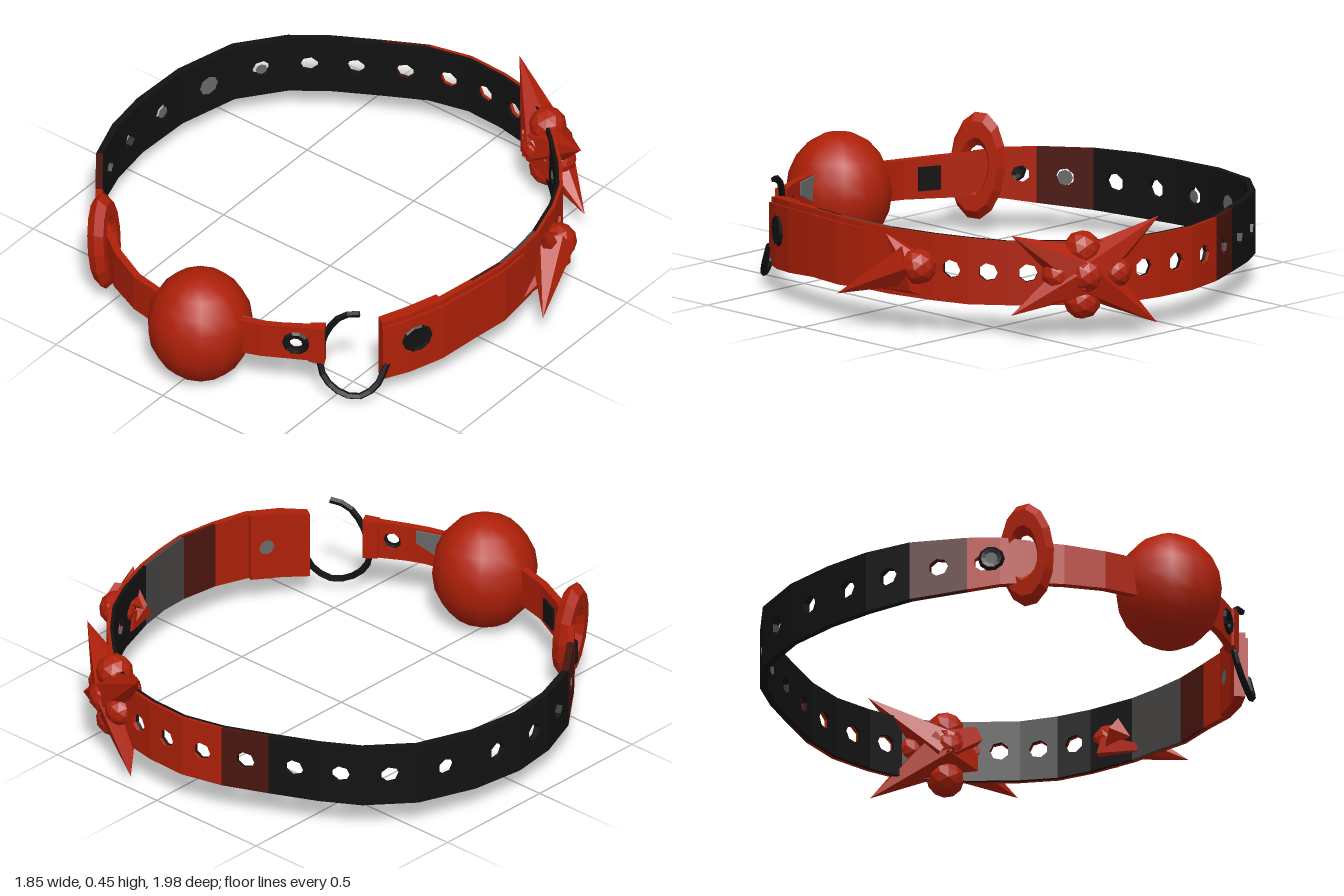
import * as THREE from 'three';

const mat = (name, color, double) => {
  const m = new THREE.MeshStandardMaterial({ color });
  m.name = name;
  m.flatShading = true;
  if (double) m.side = THREE.DoubleSide;
  return m;
};

export function createModel() {
  const model = new THREE.Group();
  const red = mat('red leather', 0xaf2008);
  const wine = mat('dark red leather', 0x4a150e);
  const black = mat('black leather', 0x121212);
  const grey = mat('grey lining', 0x6a6a6a);
  const charcoal = mat('charcoal lining', 0x464443);
  const ballRed = new THREE.MeshStandardMaterial({ color: 0xaf2008 });
  ballRed.name = 'red rubber';
  const V = (x, y, z) => new THREE.Vector3(x, y, z);
  const add = (name, geo, material, parent = model) => {
    const m = new THREE.Mesh(geo, material);
    m.name = name;
    parent.add(m);
    return m;
  };

  // Outward horizontal normal of a path at point i
  const normalAt = (path, i) => {
    const a = path[Math.max(i - 1, 0)], b = path[Math.min(i + 1, path.length - 1)];
    return V(-(b[1] - a[1]), 0, b[0] - a[0]).normalize();
  };

  // One bent strap plate between path points i and i+1, between depths w0 and w1
  // path points: [x, z, centre height, half height]
  function plate(name, path, i, w0, w1, material, hole) {
    const a = path[i], b = path[i + 1];
    const na = normalAt(path, i), nb = normalAt(path, i + 1);
    const len = Math.hypot(b[0] - a[0], b[1] - a[1]);
    const s = new THREE.Shape([[0, -1], [1, -1], [1, 1], [0, 1]].map(p => new THREE.Vector2(...p)));
    if (hole) {
      const pts = [];
      for (let k = 0; k < 7; k++) {
        const t = -k / 7 * Math.PI * 2;
        pts.push(new THREE.Vector2(0.5 + Math.cos(t) * 0.036 / len, Math.sin(t) * 0.036 / a[3]));
      }
      s.holes.push(new THREE.Path(pts));
    }
    const g = new THREE.ExtrudeGeometry(s, { depth: 1, bevelEnabled: false, steps: 1 });
    const p = g.attributes.position;
    const mix = THREE.MathUtils.lerp;
    for (let k = 0; k < p.count; k++) {
      const u = p.getX(k), v = p.getY(k), w = mix(w0, w1, p.getZ(k));
      const n = na.clone().lerp(nb, u);
      p.setXYZ(k, mix(a[0], b[0], u) + n.x * w,
        mix(a[2], b[2], u) + v * mix(a[3], b[3], u), mix(a[1], b[1], u) + n.z * w);
    }
    g.computeVertexNormals();
    add(name, g, material);
  }

  // Main strap: from the free end, round the back, to the slide ring
  const loop = [
    [0.64, 0.51, 0.23, 0.13], [0.70, 0.42, 0.245, 0.135], [0.755, 0.30, 0.26, 0.135],
    [0.785, 0.15, 0.27, 0.13], [0.805, 0, 0.27, 0.13], [0.795, -0.12, 0.27, 0.125],
    [0.775, -0.24, 0.265, 0.125], [0.72, -0.41, 0.26, 0.125], [0.66, -0.53, 0.255, 0.125],
    [0.57, -0.64, 0.25, 0.12], [0.46, -0.745, 0.25, 0.12], [0.35, -0.84, 0.25, 0.12],
    [0.22, -0.91, 0.25, 0.12], [0.08, -0.935, 0.25, 0.12], [-0.08, -0.94, 0.25, 0.12],
    [-0.24, -0.90, 0.25, 0.12], [-0.40, -0.82, 0.245, 0.12], [-0.57, -0.73, 0.24, 0.12],
    [-0.70, -0.64, 0.235, 0.12], [-0.83, -0.48, 0.23, 0.12], [-0.90, -0.25, 0.22, 0.12],
    [-0.915, -0.03, 0.21, 0.12], [-0.89, 0.15, 0.21, 0.12], [-0.83, 0.32, 0.215, 0.115],
    [-0.70, 0.49, 0.225, 0.105], [-0.62, 0.58, 0.23, 0.095], [-0.53, 0.65, 0.23, 0.085],
  ];
  for (let i = 0; i < loop.length - 1; i++) {
    const hole = i >= 7 && i < 25;
    const outer = i < 15 || i > 23 ? red : i === 15 || i === 23 ? wine : black;
    const inner = i < 3 || i > 23 ? red : i === 3 || i === 23 ? wine : i < 6 ? charcoal : black;
    plate('strapOuter', loop, i, 0, 0.013, outer, hole);
    plate('strapInner', loop, i, -0.013, 0, inner, hole);
  }
  // Raised panel on the free end
  const panel = loop.slice(0, 6).map(([x, z, y, h]) => [x, z, y + 0.005, h * 0.8]);
  for (let i = 0; i < 5; i++) plate('endPanel', panel, i, 0.013, 0.022, red);
  plate('endFold', loop, 0, -0.03, -0.013, red);
  plate('endFold', loop, 1, -0.03, -0.013, red);

  // Grey discs on the inside of some holes, and on the folded end
  const disc = (i, r, w) => {
    const a = loop[i], b = loop[i + 1];
    const n = V(-(b[1] - a[1]), 0, b[0] - a[0]).normalize();
    const d = add('liningDisc', new THREE.CircleGeometry(r, 8), grey);
    d.position.set((a[0] + b[0]) / 2 + n.x * w, (a[2] + b[2]) / 2, (a[1] + b[1]) / 2 + n.z * w);
    d.rotation.y = Math.atan2(-n.x, -n.z);
  };
  disc(1, 0.03, -0.034);
  disc(18, 0.022, -0.014);
  disc(19, 0.04, -0.014);
  disc(20, 0.024, -0.014);
  disc(23, 0.03, -0.015);

  // Narrow straps either side of the ball
  const leftTab = [[-0.57, 0.62, 0.23, 0.085], [-0.43, 0.72, 0.225, 0.08],
    [-0.29, 0.785, 0.225, 0.075], [-0.12, 0.82, 0.23, 0.075]];
  const rightTab = [[0.14, 0.795, 0.25, 0.075], [0.27, 0.755, 0.255, 0.072],
    [0.34, 0.72, 0.258, 0.072], [0.43, 0.668, 0.26, 0.075], [0.48, 0.64, 0.26, 0.08]];
  for (const tab of [leftTab, rightTab])
    for (let i = 0; i < tab.length - 1; i++)
      plate('ballStrap', tab, i, -0.014, 0.014, red, tab === rightTab && i === 2);
  plate('ringLoop', rightTab, 3, -0.022, 0.022, red);
  // Thin patches on the inside of the narrow straps
  plate('tabLining', [[0.17, 0.786, 0.265, 0.058], [0.30, 0.741, 0.295, 0.025]], 0, -0.022, -0.014, grey);
  plate('innerPatch', [[-0.42, 0.72, 0.225, 0.045], [-0.34, 0.755, 0.225, 0.045]], 0, -0.021, -0.012, black);

  // Ball
  const ball = add('ball', new THREE.SphereGeometry(1, 14, 10), ballRed);
  ball.scale.set(0.198, 0.223, 0.197);
  ball.position.set(0.02, 0.231, 0.8);

  // Rivets facing out of the straps
  const rivet = (x, y, z, nx, nz, r, filled) => {
    const g = new THREE.Group();
    g.name = 'rivet';
    g.position.set(x, y, z);
    g.rotation.y = Math.atan2(nx, nz);
    add('rivetRim', new THREE.TorusGeometry(r, 0.016, 5, 10), black, g).scale.z = 0.8;
    if (filled) {
      const cap = add('rivetCap', new THREE.CylinderGeometry(r * 0.95, r, 0.016, 10), black, g);
      cap.rotation.x = Math.PI / 2;
    }
    model.add(g);
  };
  rivet(0.725, 0.262, 0.405, 0.88, 0.47, 0.048, true);
  rivet(0.392, 0.26, 0.703, 0.5, 0.87, 0.038, false);
  rivet(-0.65, 0.24, 0.565, -0.72, 0.69, 0.034, true);

  // Open wire ring joining the ball strap and the strap end
  const wire = new THREE.CatmullRomCurve3([
    V(0.585, 0.405, 0.57), V(0.53, 0.39, 0.6), V(0.485, 0.32, 0.63), V(0.468, 0.23, 0.65),
    V(0.48, 0.14, 0.66), V(0.53, 0.075, 0.645), V(0.60, 0.048, 0.605), V(0.65, 0.09, 0.555),
    V(0.668, 0.18, 0.51)]);
  add('wireRing', new THREE.TubeGeometry(wire, 16, 0.013, 5), mat('black metal', 0x121212, true));

  // Oval slide ring
  const oval = add('slideRing', new THREE.TorusGeometry(1, 0.45, 6, 14), red);
  oval.scale.set(0.078, 0.14, 0.08);
  oval.position.set(-0.55, 0.257, 0.65);
  oval.rotation.set(0, -1.22, 0.1, 'ZYX');

  // Spikes and round studs
  const spike = (from, to, r, parent) => {
    const d = to.clone().sub(from);
    const c = add('spike', new THREE.ConeGeometry(r, d.length(), 6), red, parent);
    c.position.copy(from).addScaledVector(d, 0.5);
    c.quaternion.setFromUnitVectors(V(0, 1, 0), d.normalize());
  };
  const stud = (x, y, z, r, parent) =>
    add('stud', new THREE.IcosahedronGeometry(r, 1), red, parent).position.set(x, y, z);

  // Spiked flower ornament at the back
  const flower = new THREE.Group();
  flower.name = 'spikedOrnament';
  model.add(flower);
  const core = V(0.36, 0.25, -0.83);
  for (const tip of [V(0.12, 0.45, -0.98), V(0.14, 0.05, -0.99), V(0.62, 0.41, -0.71), V(0.63, 0.11, -0.72)])
    spike(core, tip, 0.1, flower);
  stud(0.38, 0.25, -0.86, 0.07, flower);
  stud(0.37, 0.34, -0.83, 0.07, flower);
  stud(0.37, 0.145, -0.83, 0.07, flower);
  stud(0.27, 0.25, -0.905, 0.06, flower);
  stud(0.46, 0.25, -0.79, 0.06, flower);
  stud(0.35, 0.25, -0.79, 0.06, flower);

  // Single thorn ornament on the side
  const thorn = new THREE.Group();
  thorn.name = 'thornOrnament';
  model.add(thorn);
  stud(0.775, 0.265, -0.38, 0.068, thorn);
  spike(V(0.775, 0.27, -0.34), V(0.92, 0.14, -0.1), 0.085, thorn);
  spike(V(0.77, 0.22, -0.37), V(0.805, 0.155, -0.11), 0.07, thorn);
  spike(V(0.77, 0.26, -0.34), V(0.815, 0.375, -0.25), 0.07, thorn);
  return model;
}
